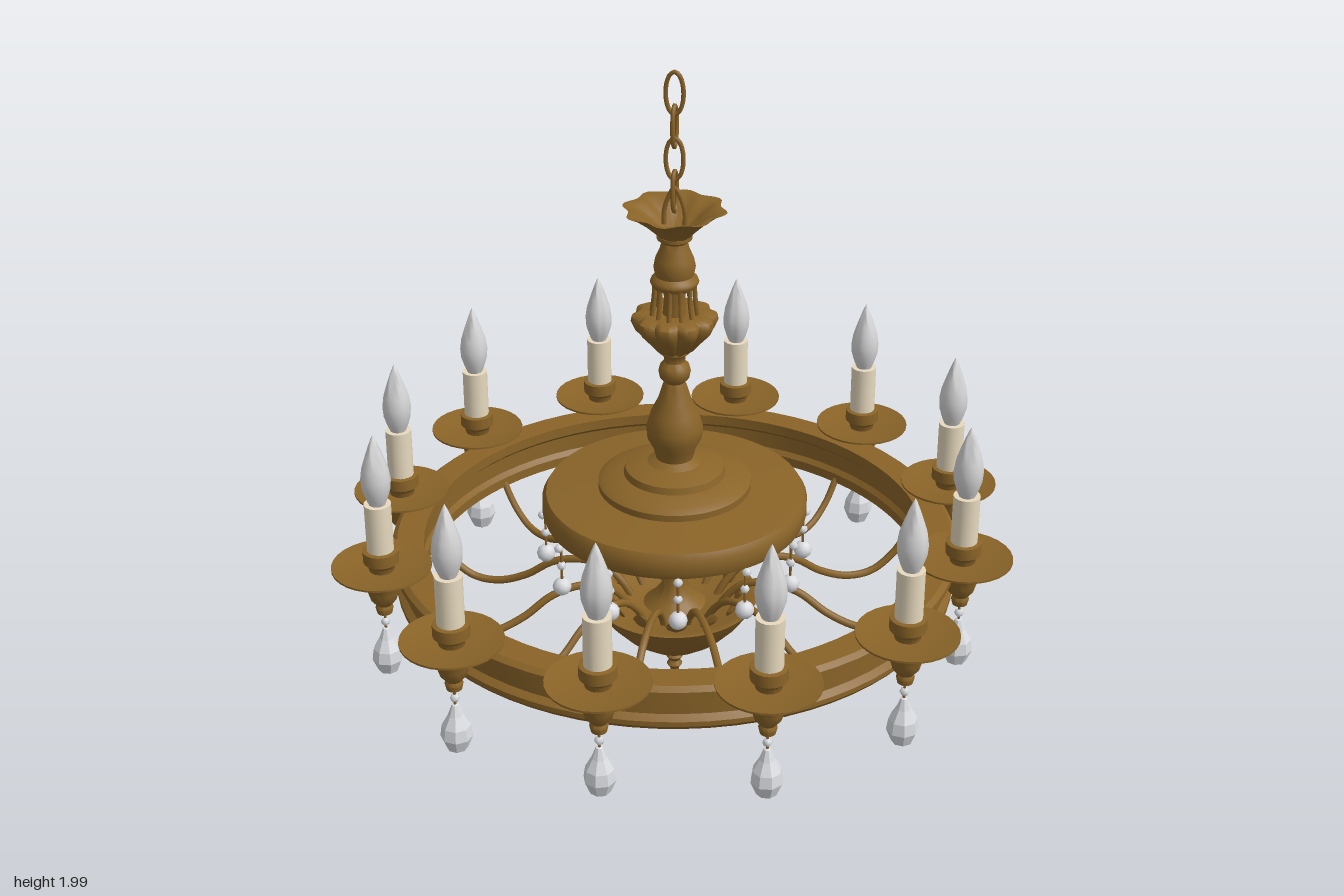
import * as THREE from 'three';
import { toCreasedNormals } from 'three/addons/utils/BufferGeometryUtils.js';

const mat = (name, color) => {
  const m = new THREE.MeshStandardMaterial({ color });
  m.name = name;
  return m;
};

export function createModel() {
  const brass = mat('antique brass', 0x8a6428);
  const cream = mat('candle cream', 0xeee0c4);
  const glass = mat('bulb glass', 0xd6d6d6);
  const crystal = mat('crystal', 0xdadce0);
  const model = new THREE.Group();
  model.name = 'chandelier';

  const add = (parent, name, geo, material, x = 0, y = 0, z = 0) => {
    const m = new THREE.Mesh(geo, material);
    m.name = name;
    m.position.set(x, y, z);
    parent.add(m);
    return m;
  };
  // Turned part: profile [radius, height] listed from bottom to top, optional radius ripple by angle
  const turned = (pts, seg = 24, ripple = null, crease = 0.6) => {
    const g = new THREE.LatheGeometry(pts.map(p => new THREE.Vector2(p[0], p[1])), seg);
    if (ripple) {
      const p = g.attributes.position;
      for (let i = 0; i < p.count; i++) {
        const k = ripple(Math.atan2(p.getZ(i), p.getX(i)), p.getY(i));
        p.setX(i, p.getX(i) * k);
        p.setZ(i, p.getZ(i) * k);
      }
    }
    return toCreasedNormals(g, crease);
  };
  const tube = (pts, r, seg = 24, closed = false) => new THREE.TubeGeometry(
    new THREE.CatmullRomCurve3(pts.map(p => new THREE.Vector3(...p)), closed), seg, r, 6, closed);
  // Repeat a part around the vertical axis; each group faces outwards along +x
  const around = (n, offset, build) => {
    for (let i = 0; i < n; i++) {
      const g = new THREE.Group();
      g.rotation.y = offset + i * Math.PI * 2 / n;
      build(g, i);
      model.add(g);
    }
  };

  // Outer ring with moulded edges
  add(model, 'outerRing', turned([
    [0.75, 0.43], [0.82, 0.43], [0.832, 0.445], [0.832, 0.46], [0.815, 0.475], [0.815, 0.525],
    [0.84, 0.54], [0.84, 0.56], [0.825, 0.572], [0.745, 0.572], [0.745, 0.54], [0.762, 0.525],
    [0.762, 0.475], [0.75, 0.46], [0.75, 0.43]], 72), brass);

  // Central canopy disc and steps
  add(model, 'canopyDisc', turned([
    [0, 0.645], [0.36, 0.645], [0.37, 0.632], [0.385, 0.632], [0.392, 0.65], [0.392, 0.69], [0.38, 0.71],
    [0.335, 0.715], [0.225, 0.725], [0.225, 0.745], [0.205, 0.758], [0.15, 0.77], [0.145, 0.79],
    [0.1, 0.805], [0, 0.81]], 56), brass);

  // Turned column
  add(model, 'columnVase', turned([
    [0.09, 0.8], [0.055, 0.82], [0.062, 0.85], [0.08, 0.885], [0.083, 0.92], [0.07, 0.965], [0.048, 1.01],
    [0.036, 1.05], [0.03, 1.065], [0.043, 1.08], [0.047, 1.1], [0.042, 1.118], [0.03, 1.13], [0.032, 1.15],
    [0.045, 1.16], [0.045, 1.175], [0, 1.175]], 28, null, 0.9), brass);
  add(model, 'lobedUrn', turned([
    [0.04, 1.16], [0.06, 1.175], [0.085, 1.205], [0.112, 1.235], [0.123, 1.26], [0.12, 1.275],
    [0.1, 1.285], [0.06, 1.28], [0, 1.28]], 80,
    a => 0.87 + 0.15 * Math.abs(Math.sin(a * 5)), 0.9), brass);
  add(model, 'urnCore', turned([[0.035, 1.27], [0.03, 1.33], [0.04, 1.39]], 14), brass);
  add(model, 'collar', turned([
    [0, 1.365], [0.062, 1.365], [0.07, 1.38], [0.066, 1.39], [0.055, 1.4], [0.06, 1.425], [0.055, 1.45],
    [0.042, 1.48], [0.037, 1.5], [0.05, 1.51], [0.05, 1.52], [0, 1.525]], 24, null, 0.9), brass);
  around(12, 0, g => add(g, 'urnRod',
    tube([[0.058, 1.38, 0], [0.06, 1.33, 0], [0.068, 1.275, 0]], 0.007, 6), brass));

  // Scalloped flower cup at the top
  add(model, 'flowerCup', turned([
    [0.035, 1.5], [0.055, 1.53], [0.085, 1.56], [0.115, 1.585], [0.14, 1.598],
    [0.134, 1.598], [0.108, 1.588], [0.075, 1.565], [0.04, 1.535], [0, 1.525]], 64,
    (a, y) => 1 + 0.07 * Math.cos(8 * a) * Math.min(1, (y - 1.5) / 0.08), 0.9), brass);

  // Chain of alternating oval links
  add(model, 'chainHook', tube([[-0.03, 1.55, 0], [-0.028, 1.6, 0], [0, 1.66, 0], [0.028, 1.6, 0], [0.03, 1.55, 0]], 0.007), brass);
  for (let i = 0; i < 4; i++) {
    const pts = [];
    for (let k = 0; k < 12; k++) {
      const a = k * Math.PI / 6;
      pts.push([0.025 * Math.cos(a), 0.06 * Math.sin(a), 0]);
    }
    add(model, 'chainLink', tube(pts, 0.0065, 28, true), brass, 0, 1.65 + i * 0.0945, 0)
      .rotation.y = i % 2 ? 0 : Math.PI / 2;
  }

  // Lower bowl, stem and finial
  add(model, 'bowl', turned([
    [0, 0.15], [0.04, 0.158], [0.1, 0.185], [0.16, 0.23], [0.21, 0.285], [0.24, 0.33], [0.252, 0.348],
    [0.235, 0.348], [0.2, 0.325], [0, 0.315]], 48), brass);
  add(model, 'centreStem', turned([
    [0.1, 0.315], [0.07, 0.34], [0.04, 0.38], [0.04, 0.47], [0.065, 0.51], [0.045, 0.55],
    [0.06, 0.59], [0.12, 0.65]], 24, null, 0.9), brass);
  add(model, 'finial', turned([
    [0, 0.058], [0.012, 0.06], [0.014, 0.08], [0.024, 0.095], [0.016, 0.108], [0.027, 0.125], [0.018, 0.138],
    [0.035, 0.152], [0.045, 0.165]], 16), brass);
  add(model, 'finialBall', new THREE.SphereGeometry(0.026, 14, 10), crystal, 0, 0.036, 0);

  // Shared lamp geometries
  const dish = turned([
    [0, 0.435], [0.022, 0.437], [0.026, 0.455], [0.022, 0.465], [0.038, 0.485], [0.045, 0.51], [0.05, 0.535],
    [0.075, 0.56], [0.11, 0.58], [0.145, 0.592], [0.145, 0.598], [0.105, 0.59], [0, 0.58]], 28);
  const holder = turned([
    [0.036, 0.58], [0.04, 0.6], [0.052, 0.612], [0.052, 0.648], [0.04, 0.65], [0, 0.65]], 20);
  const candle = new THREE.CylinderGeometry(0.039, 0.039, 0.155, 20);
  const bulb = turned([
    [0.022, 0.795], [0.032, 0.82], [0.041, 0.85], [0.043, 0.88], [0.038, 0.915], [0.027, 0.95],
    [0.015, 0.985], [0.006, 1.008], [0, 1.02]], 18, null, 1.2);
  const drop = turned([
    [0, 0.222], [0.03, 0.24], [0.046, 0.28], [0.041, 0.315], [0.022, 0.35], [0.01, 0.382], [0, 0.386]], 8, null, 0.01);
  const bead = new THREE.OctahedronGeometry(0.014, 1);
  const hanger = new THREE.CylinderGeometry(0.004, 0.004, 0.07, 6);
  const arm = tube([
    [0.13, 0.31, 0], [0.165, 0.365, 0], [0.215, 0.41, 0], [0.29, 0.425, 0], [0.38, 0.405, 0], [0.47, 0.345, 0],
    [0.56, 0.312, 0], [0.64, 0.318, 0], [0.71, 0.37, 0], [0.765, 0.45, 0]], 0.0115, 44);

  // Twelve lamps with arms and hanging drops
  around(12, 0, (g, i) => {
    const r = i % 3 ? 0.88 : 0.86;
    add(g, 'arm', arm, brass);
    add(g, 'dripDish', dish, brass, r);
    add(g, 'candleHolder', holder, brass, r);
    add(g, 'candle', candle, cream, r, 0.7225);
    add(g, 'bulb', bulb, glass, r);
    add(g, 'dropHanger', hanger, brass, r, 0.41);
    add(g, 'dropBead', bead, crystal, r, 0.405);
    add(g, 'crystalDrop', drop, crystal, r);
  });

  // Leaves standing around the bowl rim
  const leaf = turned([[0, 0], [0.026, 0.02], [0.032, 0.04], [0.018, 0.065], [0, 0.08]], 8);
  leaf.scale(0.25, 1, 1);
  around(12, Math.PI / 12, g => {
    add(g, 'bowlLeaf', leaf, brass, 0.18, 0.32).rotation.z = -0.5;
  });

  // Bead strands under the canopy
  const strand = new THREE.CylinderGeometry(0.004, 0.004, 0.13, 6);
  const ball = new THREE.IcosahedronGeometry(0.028, 1);
  around(12, Math.PI / 12, g => {
    add(g, 'strandWire', strand, brass, 0.385, 0.575);
    add(g, 'strandTopBead', bead, crystal, 0.393, 0.625);
    add(g, 'strandMiddleBead', bead, crystal, 0.385, 0.565);
    add(g, 'strandBall', ball, crystal, 0.385, 0.495);
  });

  return model;
}
